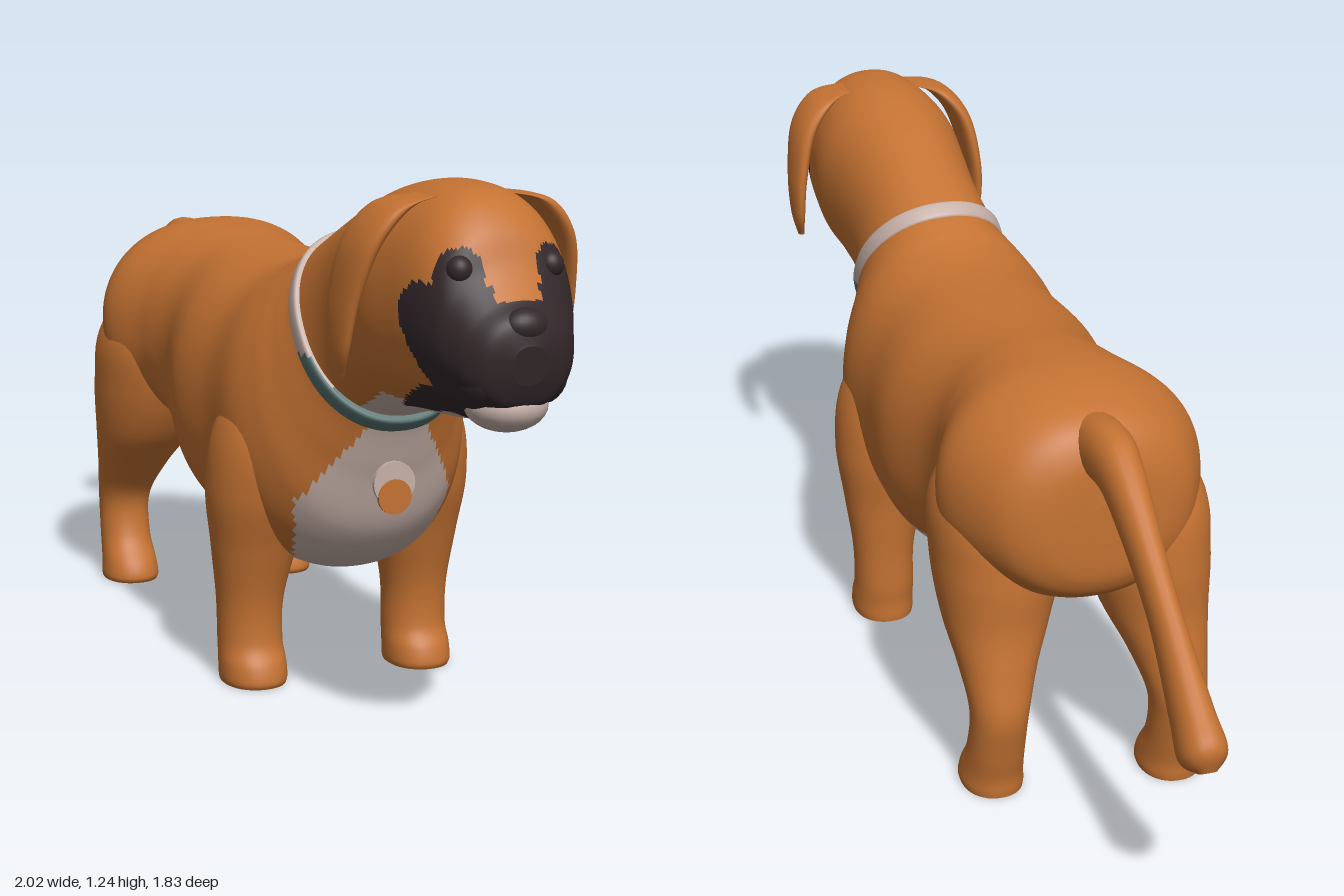
import * as THREE from 'three';

const mat = (name, color) => Object.assign(new THREE.MeshStandardMaterial({ color }), { name });

// Catmull-Rom interpolation of the rows of numbers
function sample(rows, t) {
  const n = rows.length - 1, i = Math.min(Math.floor(t * n), n - 1), f = t * n - i;
  const [p, q, r, s] = [-1, 0, 1, 2].map(k => rows[Math.max(0, Math.min(n, i + k))]);
  return q.map((_, k) => 0.5 * (2 * q[k] + (r[k] - p[k]) * f
    + (2 * p[k] - 5 * q[k] + 4 * r[k] - s[k]) * f * f
    + (3 * q[k] - p[k] - 3 * r[k] + s[k]) * f * f * f));
}

// Closed smooth skin over oval sections; each row is
// [x, y of one edge, x, y of the opposite edge, half width, sideways centre]
function loft(rows, steps, seg, pick = () => 0, colours = 1) {
  const rings = [];
  for (let i = 0; i <= steps; i++) {
    const [x1, y1, x2, y2, w, z = 0] = sample(rows, i / steps);
    const ring = [];
    for (let j = 0; j < seg; j++) {
      const a = j / seg * Math.PI * 2;
      const c = Math.sign(Math.cos(a)) * Math.abs(Math.cos(a)) ** 0.92;
      const s = Math.sign(Math.sin(a)) * Math.abs(Math.sin(a)) ** 0.92;
      ring.push([(x1 + x2) / 2 + (x1 - x2) / 2 * c, (y1 + y2) / 2 + (y1 - y2) / 2 * c, z + w * s]);
    }
    rings.push(ring);
  }
  // end caps: repeated rim, then a ring gathered at the centre
  const centre = r => r.map(() => [0, 1, 2].map(k => r.reduce((t, p) => t + p[k], 0) / seg));
  const first = rings[0], last = rings[steps];
  rings.unshift(centre(first), first);
  rings.push(last, centre(last));
  const pos = rings.flat(2), buckets = Array.from({ length: colours }, () => []);
  for (let i = 0; i < rings.length - 1; i++) for (let j = 0; j < seg; j++) {
    const k = (j + 1) % seg, A = rings[i][j], B = rings[i + 1][k];
    const id = pick(...[0, 1, 2].map(n => (A[n] + B[n]) / 2));
    const a = i * seg + j, b = i * seg + k, c = b + seg, d = a + seg;
    buckets[id].push(a, b, c, a, c, d);
  }
  const g = new THREE.BufferGeometry();
  g.setAttribute('position', new THREE.Float32BufferAttribute(pos, 3));
  g.setIndex(buckets.flat());
  let start = 0;
  buckets.forEach((b, i) => { g.addGroup(start, b.length, i); start += b.length; });
  g.computeVertexNormals();
  return g;
}

export function createModel() {
  const coat = mat('tan coat', 0xc47232), pale = mat('pale fur', 0xc6b0a8);
  const dark = mat('dark mask', 0x33272a), teal = mat('teal collar', 0x567270);
  const model = new THREE.Group(), dog = new THREE.Group();
  dog.name = 'dog';
  dog.rotation.y = -42 * Math.PI / 180;
  model.add(dog);

  const add = (name, geo, material) => {
    const m = new THREE.Mesh(geo, material);
    m.name = name;
    dog.add(m);
    return m;
  };
  const ball = (name, material, x, y, z, rx, ry, rz) => {
    const m = add(name, new THREE.SphereGeometry(1, 24, 16), material);
    m.position.set(x, y, z);
    m.scale.set(rx, ry, rz);
  };

  // Trunk, neck and head in one skin: back point, belly point, half width
  const trunk = [
    [-0.735, 0.76, -0.735, 0.66, 0.03],
    [-0.72, 0.87, -0.725, 0.56, 0.16],
    [-0.655, 0.945, -0.665, 0.50, 0.245],
    [-0.50, 0.985, -0.50, 0.46, 0.308],
    [-0.34, 0.985, -0.34, 0.445, 0.258],
    [-0.20, 0.975, -0.20, 0.355, 0.247],
    [0.00, 0.97, 0.00, 0.29, 0.292],
    [0.17, 0.975, 0.22, 0.265, 0.282],
    [0.28, 0.995, 0.44, 0.285, 0.285],
    [0.335, 1.018, 0.57, 0.39, 0.255],
    [0.37, 1.034, 0.635, 0.55, 0.215],
    [0.405, 1.05, 0.69, 0.68, 0.185],
    [0.55, 1.12, 0.76, 0.71, 0.172],
    [0.71, 1.185, 0.86, 0.735, 0.182],
    [0.85, 1.225, 0.95, 0.75, 0.195],
    [0.97, 1.24, 1.05, 0.76, 0.185],
    [1.09, 1.228, 1.12, 0.77, 0.172],
    [1.165, 1.17, 1.18, 0.785, 0.155],
    [1.205, 1.09, 1.215, 0.80, 0.138],
    [1.245, 1.035, 1.245, 0.81, 0.12],
    [1.285, 1.00, 1.27, 0.825, 0.09],
    [1.30, 0.95, 1.29, 0.87, 0.04],
  ];
  // Fur pattern: 0 coat, 1 pale chest, belly and throat, 2 dark muzzle
  const pattern = (x, y, z) => {
    const v = Math.abs(z), eye = Math.hypot(x - 1.185, y - 1.08, v - 0.105);
    if (x > 0.6 && y > 0.7) {
      if (eye < 0.053) return 2;
      const top = v < 0.05 && x < 1.25 ? 1.03 : 1.06;
      const back = 1.065 + Math.max(0, 0.97 - y) * 0.6 + Math.max(0, y - 1.02);
      if (x > back && y < top && y > 0.85) return 2;
      if (y <= 0.85 && x > 0.91 + (y - 0.77) * 2.4 && (v > 0.08 || x > 1.12)) return 2;
    }
    if (x > 0.68 && x < 1.15 && y < Math.min(0.785, 0.72 + (x - 0.69) * 0.4) && v < 0.14) return 1;
    const chest = 0.19 - Math.max(0, y - 0.48) * 0.65 - Math.max(0, 0.53 - x) * 0.4;
    if (x > 0.4 && y < 0.69 && v < chest) return 1;
    const rim = (z < 0 ? 0.395 : 0.36) - 0.065 * Math.max(0, 1 - Math.abs(x - 0.28) / 0.2);
    if (x > -0.37 && x <= 0.4 && y < rim) return 1;
    return 0;
  };
  add('bodyAndHead', loft(trunk, 230, 128, pattern, 3), [coat, pale, dark]);

  // Face
  ball('chin', pale, 1.19, 0.815, 0, 0.085, 0.055, 0.085);
  ball('nose', dark, 1.265, 0.985, 0, 0.036, 0.036, 0.05);
  for (const s of [-1, 1]) {
    ball('eye', dark, 1.178, 1.088, s * 0.1, 0.026, 0.028, 0.027);
    ball('jowl', dark, 1.185, 0.88, s * 0.07, 0.09, 0.07, 0.052);
  }

  // Legs: [height, centre x, sideways, half length, half width]
  const foreleg = [
    [0.78, 0.33, 0.12, 0.08, 0.08], [0.62, 0.335, 0.16, 0.14, 0.135], [0.47, 0.325, 0.19, 0.137, 0.127],
    [0.33, 0.312, 0.203, 0.105, 0.10], [0.20, 0.30, 0.21, 0.082, 0.078], [0.10, 0.30, 0.21, 0.08, 0.075],
    [0.05, 0.315, 0.21, 0.09, 0.077], [0.015, 0.32, 0.21, 0.095, 0.077], [0, 0.318, 0.21, 0.092, 0.074],
  ];
  const hindleg = [
    [0.84, -0.50, 0.12, 0.10, 0.10], [0.69, -0.52, 0.155, 0.175, 0.15], [0.55, -0.542, 0.167, 0.177, 0.147],
    [0.42, -0.575, 0.181, 0.145, 0.122], [0.32, -0.632, 0.195, 0.105, 0.09], [0.22, -0.68, 0.205, 0.075, 0.067],
    [0.12, -0.667, 0.208, 0.07, 0.065], [0.05, -0.635, 0.208, 0.085, 0.07], [0.015, -0.627, 0.208, 0.09, 0.073],
    [0, -0.629, 0.208, 0.086, 0.07],
  ];
  const leg = (name, rows, side, stride) => add(name, loft(rows.map(([y, x, z, r, w]) =>
    [x + stride + r, y, x + stride - r, y, w, z * side]), 60, 40), coat);
  leg('rightForeleg', foreleg, 1, 0);
  leg('leftForeleg', foreleg, -1, 0);
  leg('rightHindleg', hindleg, 1, 0);
  leg('leftHindleg', hindleg, -1, 0.065);

  // Drooping ears
  const ear = [
    [1.04, 1.215, 0.95, 1.215, 0.02, 0.09], [1.055, 1.195, 0.91, 1.195, 0.03, 0.16],
    [1.045, 1.12, 0.885, 1.12, 0.026, 0.218], [1.005, 1.00, 0.872, 1.00, 0.02, 0.245],
    [0.972, 0.90, 0.88, 0.90, 0.015, 0.25], [0.932, 0.84, 0.912, 0.84, 0.008, 0.244],
  ];
  for (const s of [-1, 1])
    add(s > 0 ? 'rightEar' : 'leftEar', loft(ear.map(r => [...r.slice(0, 5), r[5] * s]), 40, 24), coat);

  // Tail with a slightly bushy tip
  add('tail', loft([
    [-0.62, 0.79, -0.62, 0.94, 0.06], [-0.74, 0.81, -0.76, 0.952, 0.055], [-0.83, 0.78, -0.865, 0.905, 0.045],
    [-1.02, 0.63, -1.075, 0.72, 0.033], [-1.165, 0.475, -1.26, 0.56, 0.043],
    [-1.235, 0.41, -1.33, 0.495, 0.05], [-1.29, 0.415, -1.325, 0.435, 0.02],
  ], 50, 20), coat);

  // Collar: pale over the neck, teal below
  const collar = [[-0.024, 0.99], [-0.018, 1.03], [0.018, 1.03], [0.024, 0.99]].map(([o, k]) => {
    const x = 0.548 + o * 0.8, y = 0.861 + o * 0.6;
    return [x - 0.144 * k, y + 0.19 * k, x + 0.144 * k, y - 0.19 * k, 0.188 * k];
  });
  add('collar', loft(collar, 9, 96, (x, y) => (y > 0.82 ? 0 : 1), 2), [pale, teal]);

  // Tag resting against the chest
  const disc = (name, material, r, h, x, y) => {
    const m = add(name, new THREE.CylinderGeometry(r, r, h, 24), material);
    m.rotation.z = Math.PI / 2;
    m.position.set(x, y, 0);
  };
  disc('tag', pale, 0.05, 0.01, 0.652, 0.53);
  disc('tagPlate', coat, 0.04, 0.009, 0.656, 0.5);

  return model;
}
